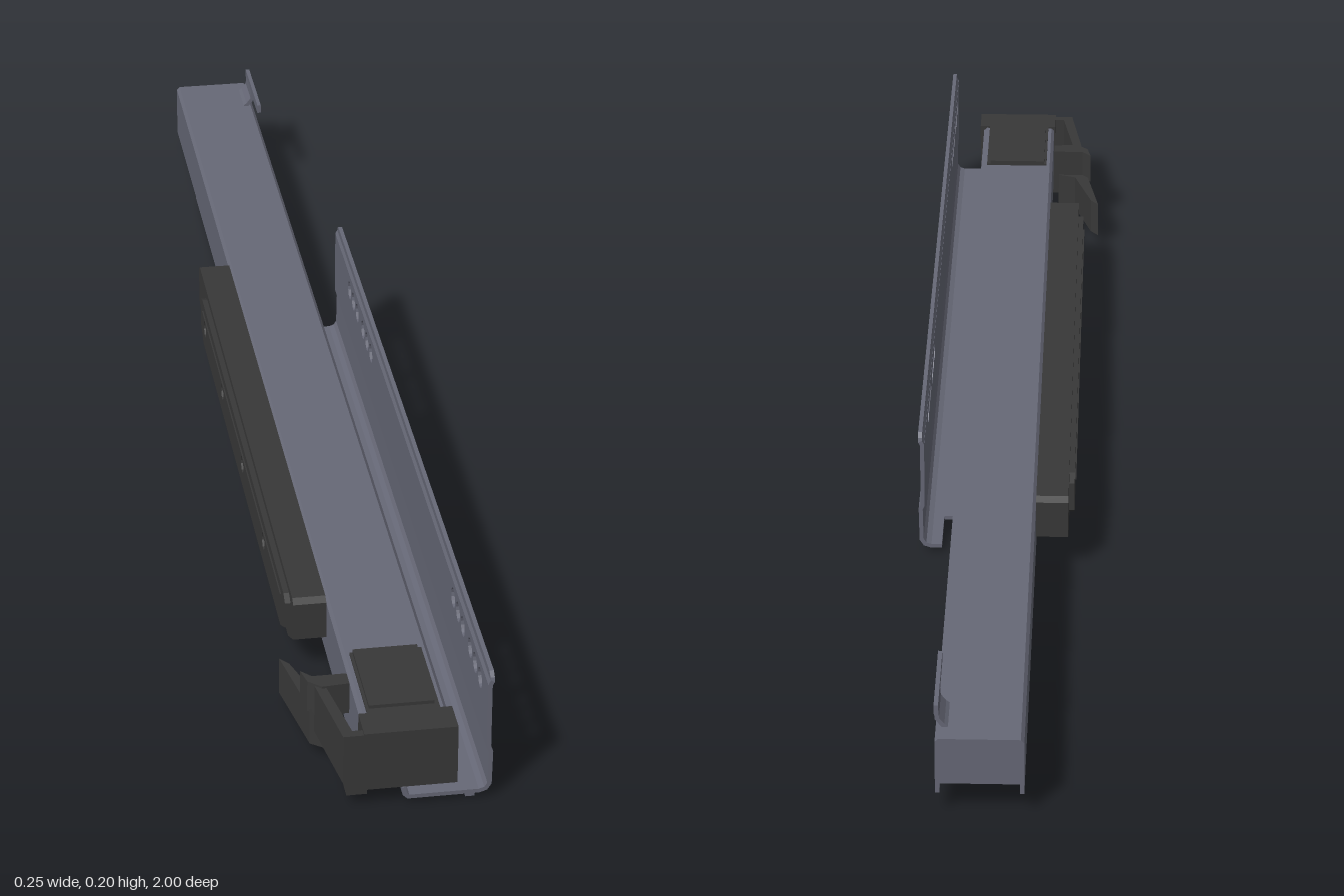
import * as THREE from 'three';

const steel = new THREE.MeshStandardMaterial({ color: 0x666876, side: THREE.DoubleSide });
const black = new THREE.MeshStandardMaterial({ color: 0x383838, side: THREE.DoubleSide });

const toShape = (pts) => new THREE.Shape(pts.map(([x, y]) => new THREE.Vector2(x, y)));
const extrude = (shape, depth) =>
  new THREE.ExtrudeGeometry(shape, { depth, bevelEnabled: false, curveSegments: 8 });

export function createModel() {
  const model = new THREE.Group();

  function add(name, geometry, material) {
    const mesh = new THREE.Mesh(geometry, material);
    mesh.name = name;
    model.add(mesh);
    return mesh;
  }
  function box(name, material, x0, x1, y0, y1, z0, z1) {
    const g = new THREE.BoxGeometry(x1 - x0, y1 - y0, z1 - z0);
    return add(name, g.translate((x0 + x1) / 2, (y0 + y1) / 2, (z0 + z1) / 2), material);
  }
  // Bent sheet: an x,y centre line thickened by t, running from z0 to z1
  function sheet(name, pts, t, z0, z1) {
    const p = pts.map(([x, y]) => new THREE.Vector2(x, y));
    const left = [], right = [];
    p.forEach((v, i) => {
      const a = p[Math.max(i - 1, 0)], b = p[Math.min(i + 1, p.length - 1)];
      const d1 = (i > 0 ? v.clone().sub(a) : b.clone().sub(v)).normalize();
      const d2 = (i < p.length - 1 ? b.clone().sub(v) : d1.clone()).normalize();
      const n = new THREE.Vector2(-d1.y - d2.y, d1.x + d2.x).normalize();
      n.multiplyScalar(t / 2 / (n.x * -d1.y + n.y * d1.x));
      left.push(v.clone().add(n));
      right.unshift(v.clone().sub(n));
    });
    return add(name, extrude(new THREE.Shape([...left, ...right]), z1 - z0).translate(0, 0, z0), steel);
  }
  // Plan outline in x,z raised from y0 to y1
  function plan(name, material, pts, y0, y1) {
    const g = extrude(toShape(pts.map(([x, z]) => [x, -z])), y1 - y0);
    return add(name, g.rotateX(-Math.PI / 2).translate(0, y0, 0), material);
  }
  // Side outline in z,y spanning x0 to x1, with optional round holes
  function side(name, material, pts, x0, x1, holes = [], r = 0) {
    const s = toShape(pts.map(([z, y]) => [-z, y]));
    for (const [z, y] of holes) {
      const h = new THREE.Path();
      h.absarc(-z, y, r, 0, Math.PI * 2, true);
      s.holes.push(h);
    }
    return add(name, extrude(s, x1 - x0).rotateY(Math.PI / 2).translate(x0, 0, 0), material);
  }

  // Drawer rail: channel open underneath, closed at the back
  sheet('drawerRail', [[-0.047, 0.03], [-0.047, 0.109], [-0.044, 0.112], [0.064, 0.112],
    [0.067, 0.109], [0.067, 0.03]], 0.006, -1, 0.96);
  box('railEndCap', steel, -0.046, 0.066, 0.045, 0.112, -1, -0.994);

  // Rear hook on top of the rail
  sheet('hookPost', [[0.055, 0.114], [0.06, 0.118], [0.068, 0.128], [0.069, 0.142]], 0.006, -0.97, -0.91);
  box('hookFinger', steel, 0.066, 0.072, 0.138, 0.152, -0.975, -0.835);

  // Middle rail, stepped, sliding under the drawer rail
  sheet('middleRail', [[-0.047, 0.017], [-0.024, 0.017], [-0.02, 0.025], [0.042, 0.025],
    [0.047, 0.03], [0.047, 0.038]], 0.005, -0.775, 0.95);

  // Short cradle clip below the middle rail
  plan('cradlePlate', steel, [[-0.05, -0.1], [-0.05, 0.05], [0.02, 0.05], [0.045, 0.015],
    [0.045, -0.065], [0.02, -0.1]], 0.004, 0.008);
  sheet('cradleLip', [[-0.049, 0.006], [-0.055, 0.01], [-0.057, 0.02]], 0.004, -0.1, 0.05);

  // Cabinet bracket: floor, bend, perforated wall and top lip
  sheet('bracketFloor', [[0.003, 0.027], [0.004, 0.016], [0.009, 0.011], [0.09, 0.011]], 0.006, -0.22, 1);
  sheet('bracketBend', [[0.09, 0.011], [0.106, 0.011], [0.115, 0.014], [0.12, 0.022],
    [0.121, 0.073], [0.118, 0.08]], 0.006, -0.305, 1);
  const holes = [];
  for (const start of [0.942, 0.814, 0.04, -0.088])
    for (let i = 0; i < 3; i++) holes.push([start - i * 0.037, 0.155]);
  side('bracketWall', steel, [[-0.305, 0.079], [1, 0.079], [1, 0.181], [-0.305, 0.181]],
    0.115, 0.121, holes, 0.0145);
  sheet('bracketJog', [[0.118, 0.18], [0.121, 0.186]], 0.006, -0.305, 1);
  side('bracketLip', steel, [[-0.305, 0.184], [1, 0.184], [0.998, 0.191], [0.99, 0.197],
    [-0.295, 0.197], [-0.303, 0.191]], 0.118, 0.124);
  box('bracketFoot', steel, 0.088, 0.101, 0, 0.01, 0.97, 0.995);

  // Damper housing beside the rail, with recessed windows between ribs
  side('damperHousing', black, [[-0.35, 0.055], [-0.3, 0.03], [0.61, 0.03], [0.66, 0.055],
    [0.66, 0.112], [0.65, 0.118], [-0.34, 0.118], [-0.35, 0.112]], -0.097, -0.05);
  side('damperCover', black, [[-0.27, 0.055], [-0.24, 0.036], [0.59, 0.036], [0.635, 0.06],
    [0.635, 0.1], [0.62, 0.108], [-0.25, 0.108], [-0.27, 0.1]], -0.105, -0.097,
  [[-0.22, 0.072], [-0.02, 0.072], [0.2, 0.072], [0.42, 0.072]], 0.013);
  box('damperRib', black, -0.107, -0.104, 0.09, 0.094, -0.24, 0.6);

  // Front locking block
  box('lockBody', black, -0.052, 0.076, 0.028, 0.118, 0.95, 1);
  box('lockNeck', black, -0.04, 0.06, 0.032, 0.118, 0.8, 0.96);
  box('lockTopPlate', black, -0.036, 0.054, 0.117, 0.123, 0.8, 0.94);
  box('lockFoot', black, -0.075, -0.047, 0.018, 0.05, 0.9, 0.995);

  // Release lever: blade, crossbar and arm
  plan('leverBlade', black, [[-0.128, 0.735], [-0.116, 0.75], [-0.088, 0.84], [-0.06, 0.85],
    [-0.06, 0.872], [-0.085, 0.88], [-0.105, 0.865]], 0.018, 0.075);
  plan('leverCrossbar', black, [[-0.114, 0.835], [-0.1, 0.85], [-0.052, 0.85], [-0.052, 0.875],
    [-0.09, 0.878], [-0.108, 0.862]], 0.07, 0.118);
  plan('leverArm', black, [[-0.1, 0.865], [-0.086, 0.865], [-0.066, 0.985], [-0.05, 0.985],
    [-0.05, 0.998], [-0.08, 0.998]], 0.04, 0.115);

  return model;
}
